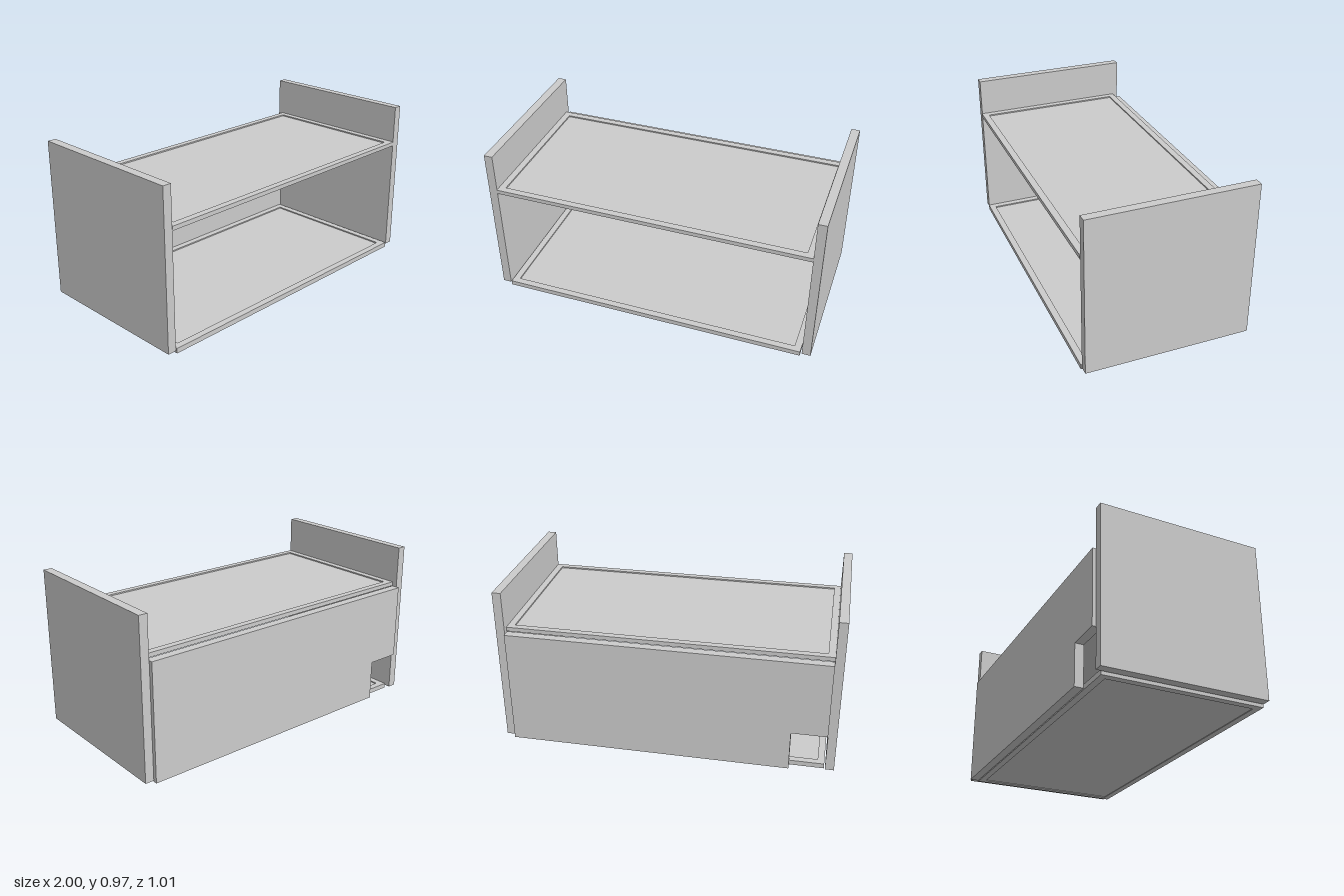
import * as THREE from 'three';

const material = new THREE.MeshStandardMaterial({ color: 0xcccccc, flatShading: true });

// Box given by its minimum and maximum corners
function slab(name, [x0, y0, z0], [x1, y1, z1]) {
  const geometry = new THREE.BoxGeometry(x1 - x0, y1 - y0, z1 - z0);
  geometry.translate((x0 + x1) / 2, (y0 + y1) / 2, (z0 + z1) / 2);
  const mesh = new THREE.Mesh(geometry, material);
  mesh.name = name;
  return mesh;
}

function rectangle(PathType, x0, y0, x1, y1) {
  return new PathType([[x0, y0], [x1, y0], [x1, y1], [x0, y1]].map(p => new THREE.Vector2(...p)));
}

// Shelf: a rim around a slightly sunken panel
function shelf(name, x0, x1, y0, y1) {
  const group = new THREE.Group();
  group.name = name;
  const back = -0.455, front = 0.507, rim = 0.04, sink = 0.008;
  const shape = rectangle(THREE.Shape, x0, -front, x1, -back);
  shape.holes.push(rectangle(THREE.Path, x0 + rim, -front + rim, x1 - rim, -back - rim));
  const geometry = new THREE.ExtrudeGeometry(shape, { depth: y1 - y0, bevelEnabled: false });
  geometry.rotateX(-Math.PI / 2).translate(0, y0, 0);
  const frame = new THREE.Mesh(geometry, material);
  frame.name = name + 'Rim';
  group.add(frame, slab(name + 'Panel',
    [x0 + rim, y0 + sink / 2, back + rim], [x1 - rim, y1 - sink, front - rim]));
  return group;
}

export function createModel() {
  const model = new THREE.Group();
  model.name = 'shelfUnit';

  // Upright side boards
  model.add(slab('leftSide', [0.948, 0.017, -0.487], [1, 0.973, 0.504]));
  model.add(slab('rightSide', [-1, 0.017, -0.487], [-0.948, 0.973, 0.504]));

  // Shelves
  model.add(shelf('upperShelf', -0.948, 0.948, 0.718, 0.743));
  model.add(shelf('lowerShelf', -0.942, 0.938, 0, 0.03));

  // Back board with a notch in the lower corner
  const outline = [[-0.738, 0.008], [0.945, 0.008], [0.945, 0.716], [-0.948, 0.716], [-0.948, 0.255], [-0.738, 0.255]];
  const backShape = new THREE.Shape(outline.map(p => new THREE.Vector2(...p)));
  const backGeometry = new THREE.ExtrudeGeometry(backShape, { depth: 0.052, bevelEnabled: false });
  backGeometry.translate(0, 0, -0.507);
  const backBoard = new THREE.Mesh(backGeometry, material);
  backBoard.name = 'backBoard';
  model.add(backBoard);

  return model;
}
